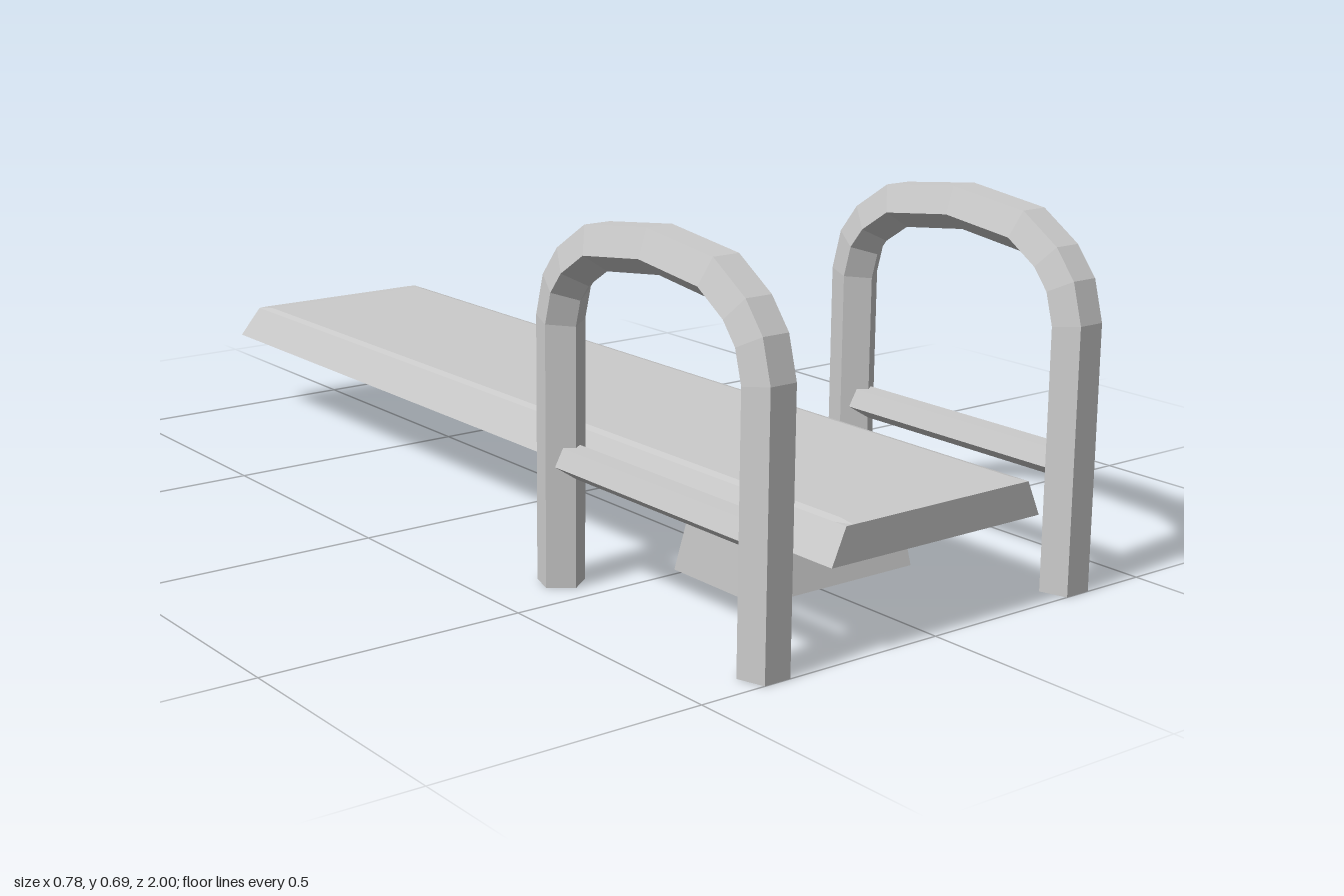
import * as THREE from 'three';

const material = new THREE.MeshStandardMaterial({ color: 0xcccccc, flatShading: true });
const openMaterial = new THREE.MeshStandardMaterial({ color: 0xcccccc, flatShading: true, side: THREE.DoubleSide });

// Skin a row of closed rings, optionally closing both ends
function loft(rings, capped) {
  const n = rings[0].length;
  const index = [];
  for (let i = 0; i < rings.length - 1; i++) {
    for (let j = 0; j < n; j++) {
      const k = (j + 1) % n;
      const a = i * n + j, b = i * n + k, c = b + n, d = a + n;
      index.push(a, c, b, a, d, c);
    }
  }
  if (capped) {
    const e = (rings.length - 1) * n;
    for (let j = 1; j < n - 1; j++) index.push(0, j, j + 1, e, e + j + 1, e + j);
  }
  const geometry = new THREE.BufferGeometry();
  geometry.setAttribute('position', new THREE.Float32BufferAttribute(rings.flat(2), 3));
  geometry.setIndex(index);
  const flat = geometry.toNonIndexed();
  flat.computeVertexNormals();
  return flat;
}

// Five-sided tube in the yz plane; path [z, y] follows its flat outer face
function pentagonTube(path, radius) {
  const points = path.map(([z, y]) => new THREE.Vector2(z, y));
  const normals = points.slice(1).map((p, i) => {
    const d = p.clone().sub(points[i]).normalize();
    return new THREE.Vector2(d.y, -d.x);
  });
  const rings = points.map((p, i) => {
    const n1 = normals[Math.max(i - 1, 0)];
    const n2 = normals[Math.min(i, normals.length - 1)];
    const miter = n1.clone().add(n2).divideScalar(1 + n1.dot(n2));
    return Array.from({ length: 5 }, (_, k) => {
      const t = (126 + 72 * k) * Math.PI / 180;
      const out = radius * (Math.sin(t) - Math.cos(Math.PI / 5));
      return [radius * Math.cos(t), p.y + miter.y * out, p.x + miter.x * out];
    });
  });
  return loft(rings, false);
}

function addMesh(parent, name, geometry, mat = material) {
  const mesh = new THREE.Mesh(geometry, mat);
  mesh.name = name;
  parent.add(mesh);
  return mesh;
}

export function createModel() {
  const model = new THREE.Group();
  model.name = 'divingBoard';

  // Plank with sloping long sides and a sloping far end
  const plankRing = (zBottom, zTop, yTop, inset) => [
    [-0.237, 0.167, zBottom], [0.237, 0.167, zBottom],
    [0.208, Math.min(yTop, 0.232), zTop], [0.208 - inset, yTop, zTop],
    [-0.208 + inset, yTop, zTop], [-0.208, Math.min(yTop, 0.232), zTop],
  ];
  addMesh(model, 'plank', loft([
    plankRing(1, 1, 0.232, 0.015),
    plankRing(0.97, 0.97, 0.236, 0.015),
    plankRing(-0.93, -0.93, 0.236, 0.015),
    plankRing(-1, -0.965, 0.233, 0.015),
  ], true));

  // Wedge-shaped support under the plank
  const wedge = new THREE.Shape([[0.752, 0.018], [0.703, 0.169], [0.572, 0.169], [0.521, 0.018]]
    .map(([z, y]) => new THREE.Vector2(z, y)));
  const support = new THREE.ExtrudeGeometry(wedge, { depth: 0.358, bevelEnabled: false });
  support.translate(0, 0, -0.179).rotateY(-Math.PI / 2);
  addMesh(model, 'support', support).position.x = 0.003;

  // Arched handrails with a crossbar, one on each side
  const zMid = 0.6875;
  const half = [[0.3125, 0], [0.3125, 0.485], [0.292, 0.56], [0.25, 0.613], [0.17, 0.665]];
  const arch = [
    ...half.map(([w, y]) => [zMid + w, y]),
    [zMid, 0.686],
    ...half.slice().reverse().map(([w, y]) => [zMid - w, y]),
  ];
  const railGeometry = pentagonTube(arch, 0.045);
  const barGeometry = pentagonTube([[0.95, 0.257], [0.425, 0.257]], 0.031);
  for (const side of [-1, 1]) {
    const rail = new THREE.Group();
    rail.name = side > 0 ? 'leftHandrail' : 'rightHandrail';
    rail.position.x = side * 0.346;
    addMesh(rail, 'arch', railGeometry, openMaterial);
    addMesh(rail, 'crossbar', barGeometry, openMaterial);
    model.add(rail);
  }
  return model;
}
